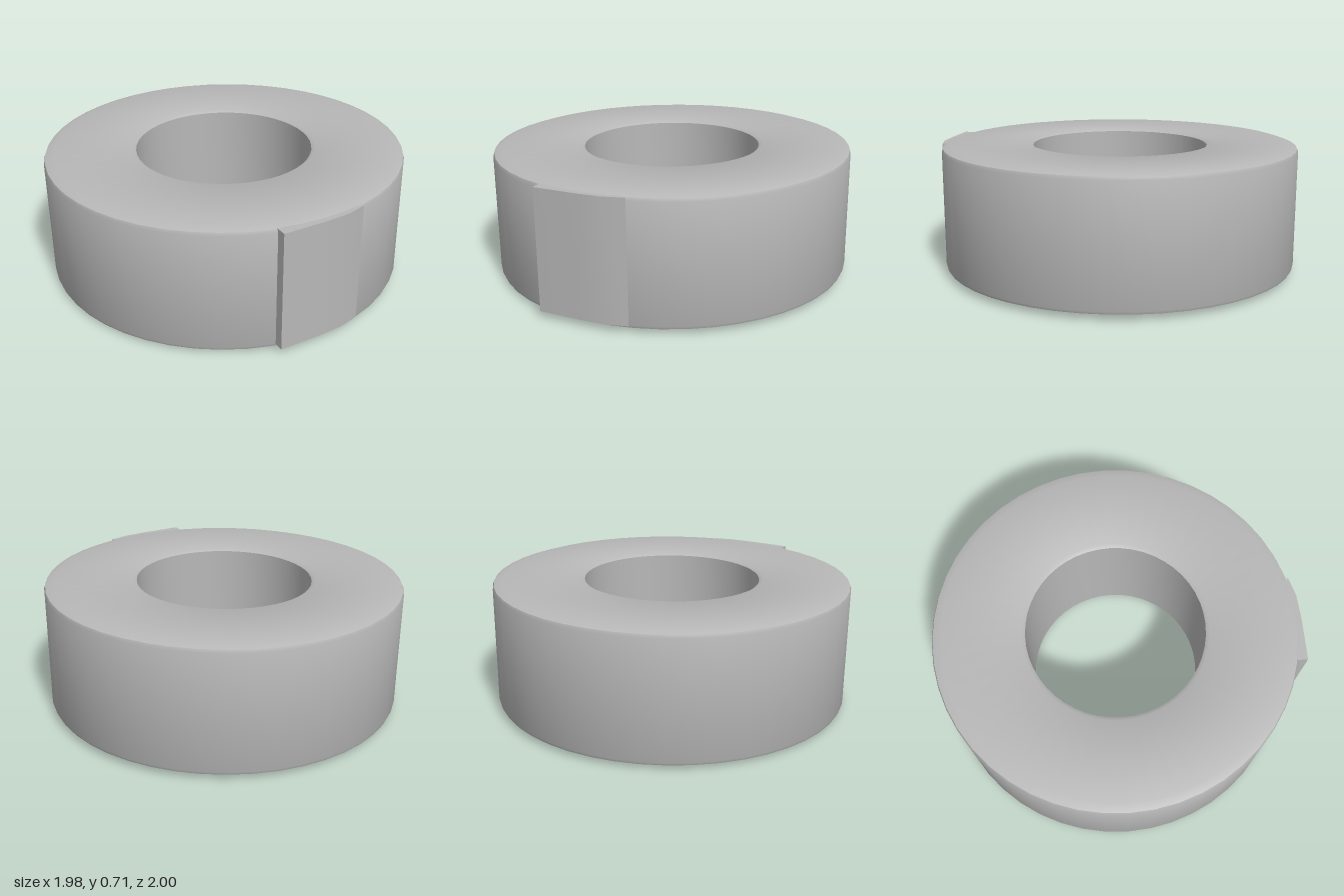
import * as THREE from 'three';
import { toCreasedNormals } from 'three/addons/utils/BufferGeometryUtils.js';

export function createModel() {
  const model = new THREE.Group();
  model.name = 'tapeRoll';
  const grey = new THREE.MeshStandardMaterial({ color: 0xb8b8b8 });
  grey.name = 'grey tape';

  // Everything sits in a group that leans very slightly sideways
  const roll = new THREE.Group();
  roll.name = 'roll';
  roll.position.set(0, 0.355, -0.013);
  roll.rotation.z = 0.01;
  model.add(roll);

  const add = (name, geometry) => {
    const mesh = new THREE.Mesh(toCreasedNormals(geometry, 0.6), grey);
    mesh.name = name;
    roll.add(mesh);
  };

  // Wound ring: closed profile with small worn bevels on the rims
  const R = 0.987, r = 0.486, h = 0.345;
  const profile = [
    [R - 0.05, -h], [R - 0.006, -h + 0.015], [R, -h + 0.03],
    [R, h - 0.03], [R - 0.006, h - 0.014], [R - 0.05, h],
    [r + 0.02, h - 0.003], [r, h - 0.015],
    [r, -h + 0.015], [r + 0.02, -h + 0.003], [R - 0.05, -h],
  ].map(([x, y]) => new THREE.Vector2(x, y));
  add('woundRing', new THREE.LatheGeometry(profile, 48));

  // Loose tape end lifting off the front of the ring
  const flap = new THREE.Shape();
  flap.moveTo(-0.24, -0.95);
  flap.lineTo(-0.24, -1.008);
  flap.lineTo(0.0, -1.006);
  flap.lineTo(0.13, -0.996);
  flap.lineTo(0.24, -0.965);
  flap.lineTo(0.2, -0.94);
  flap.closePath();
  const flapGeometry = new THREE.ExtrudeGeometry(flap, { depth: 0.65, bevelEnabled: false });
  flapGeometry.rotateX(-Math.PI / 2).translate(0, -0.317, 0);
  add('looseTapeEnd', flapGeometry);

  return model;
}
